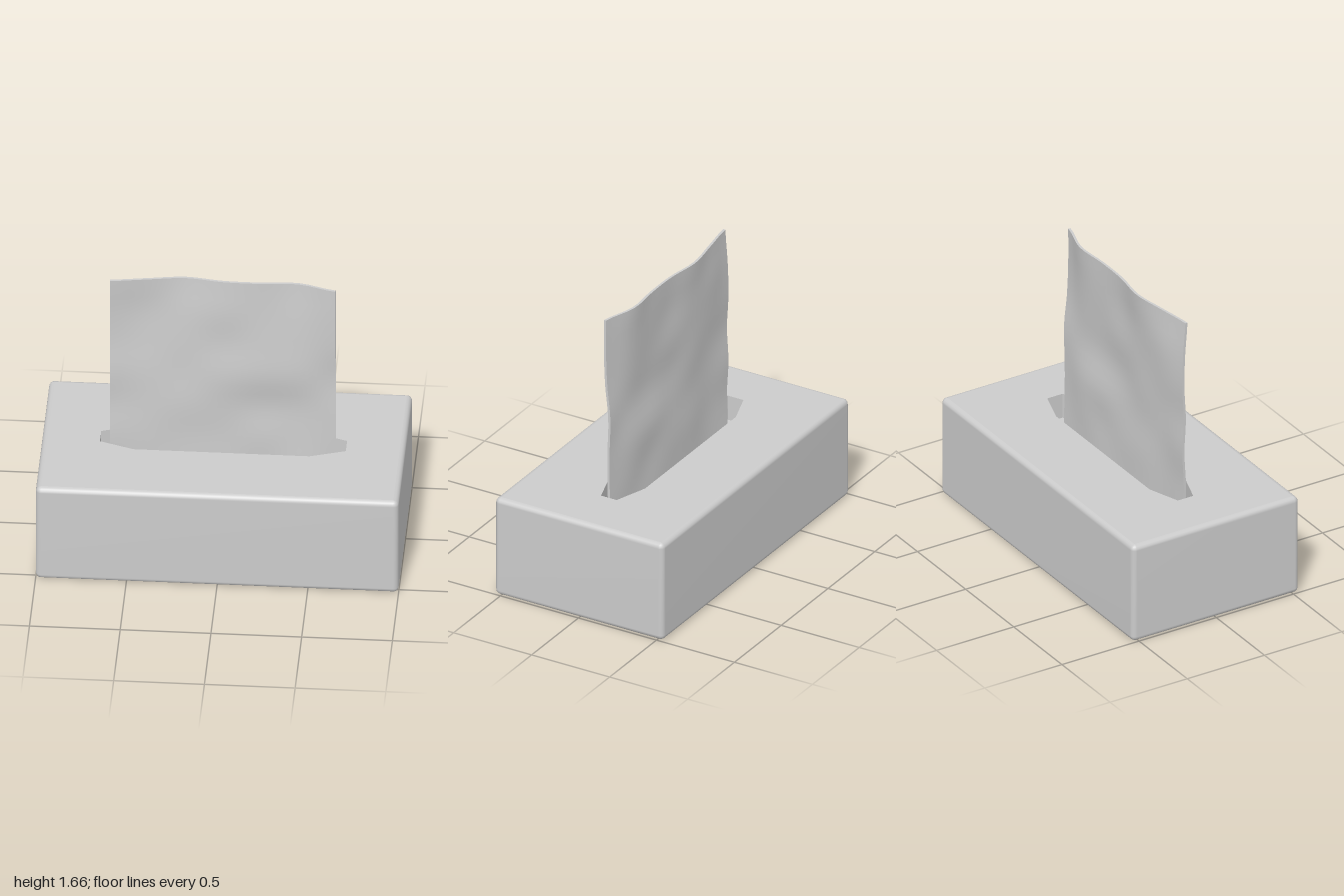
import * as THREE from 'three';

const material = new THREE.MeshStandardMaterial({ color: 0xcccccc });
const doubleSided = new THREE.MeshStandardMaterial({ color: 0xcccccc, side: THREE.DoubleSide });

const W = 2, H = 0.6, D = 1.08, R = 0.03;   // box size and edge radius
const SLOT_DEPTH = 0.15, FLOOR = H - SLOT_DEPTH;
const STEPS = 4;                            // segments per rounded edge

function addMesh(parent, geometry, name, mat = material) {
  const mesh = new THREE.Mesh(geometry, mat);
  mesh.name = name;
  parent.add(mesh);
  return mesh;
}

// Rounded rectangle outline in plan, inset of the corner centres plus a corner radius r
function outline(r) {
  const points = [];
  [[1, 1], [-1, 1], [-1, -1], [1, -1]].forEach(([sx, sz], corner) => {
    for (let i = 0; i <= STEPS; i++) {
      const a = (corner + i / STEPS) * Math.PI / 2;
      points.push(new THREE.Vector2(
        sx * (W / 2 - R) + r * Math.cos(a),
        sz * (D / 2 - R) + r * Math.sin(a)));
    }
  });
  return points;
}

// Box sides with rounded edges, lofted from bottom to top
function sideGeometry() {
  const positions = [], indices = [];
  const levels = [];
  for (let i = 0; i <= STEPS; i++) {
    const a = i / STEPS * Math.PI / 2;
    levels.push([R - R * Math.cos(a), R * Math.sin(a)]);
  }
  for (let i = STEPS; i >= 0; i--) levels.push([H - levels[i][0], levels[i][1]]);
  const n = outline(R).length;
  levels.forEach(([y, r], row) => {
    outline(r).forEach((p) => positions.push(p.x, y, p.y));
    if (row === 0) return;
    for (let j = 0; j < n; j++) {
      const a = (row - 1) * n + j, b = (row - 1) * n + (j + 1) % n;
      indices.push(a, a + n, b, b, a + n, b + n);
    }
  });
  const geometry = new THREE.BufferGeometry();
  geometry.setAttribute('position', new THREE.Float32BufferAttribute(positions, 3));
  geometry.setIndex(indices);
  geometry.computeVertexNormals();
  return geometry;
}

// Plan rectangle inside the rounded edges
function flatRect() {
  const x = W / 2 - R, z = D / 2 - R;
  return new THREE.Shape([[-x, -z], [x, -z], [x, z], [-x, z]].map((p) => new THREE.Vector2(...p)));
}

function slotPoints() {
  return [[-0.68, -0.05], [-0.49, -0.115], [0.48, -0.115], [0.675, -0.05],
    [0.675, 0.05], [0.48, 0.115], [-0.49, 0.115], [-0.68, 0.05]].map((p) => new THREE.Vector2(...p));
}

function createBox() {
  const box = new THREE.Group();
  box.name = 'box';
  addMesh(box, sideGeometry(), 'boxSides');
  addMesh(box, new THREE.ShapeGeometry(flatRect()).rotateX(Math.PI / 2), 'boxBottom');

  // Top panel with the eight-sided opening
  const top = flatRect();
  top.holes.push(new THREE.Path(slotPoints()));
  addMesh(box, new THREE.ShapeGeometry(top).rotateX(-Math.PI / 2).translate(0, H, 0), 'boxTop');

  // Walls and floor of the opening
  const pts = slotPoints(), wall = [];
  pts.forEach((p, i) => {
    const q = pts[(i + 1) % pts.length];
    wall.push(p.x, FLOOR, p.y, p.x, H, p.y, q.x, H, q.y, p.x, FLOOR, p.y, q.x, H, q.y, q.x, FLOOR, q.y);
  });
  const walls = new THREE.BufferGeometry();
  walls.setAttribute('position', new THREE.Float32BufferAttribute(wall, 3));
  walls.computeVertexNormals();
  addMesh(box, walls, 'slotWalls', doubleSided);
  addMesh(box, new THREE.ShapeGeometry(new THREE.Shape(pts)).rotateX(-Math.PI / 2).translate(0, FLOOR, 0), 'slotFloor');
  return box;
}

// Crumple depths of the tissue: rows from bottom to top, columns from -x to +x
const WAVES = [
  [0.025, 0.035, 0.025, 0.02, 0.015, 0.025, 0.03],
  [0.03, 0.035, 0.02, 0.015, 0.02, 0.015, 0.035],
  [0.02, 0.03, 0.025, 0.02, 0.01, 0.01, 0.035],
  [0.03, 0.025, 0.015, 0.03, 0.035, 0.03, 0.03],
  [0.02, 0.01, 0.01, 0.015, 0.025, 0.025, 0.05],
  [0.025, 0.0, 0.0, 0.02, 0.015, 0.015, 0.058],
  [0.04, 0.01, -0.018, 0.008, 0.01, 0.0, 0.058],
];
const spline = (values, t) =>
  new THREE.SplineCurve(values.map((v, i) => new THREE.Vector2(i, v))).getPoint(t).y;

function createTissue() {
  const width = 1.245, height = 1.665 - FLOOR, thickness = 0.014;
  const geometry = new THREE.BoxGeometry(width, height, thickness, 24, 20, 1);
  const pos = geometry.attributes.position;
  for (let i = 0; i < pos.count; i++) {
    const u = THREE.MathUtils.clamp(pos.getX(i) / width + 0.5, 0, 1);
    const v = THREE.MathUtils.clamp(pos.getY(i) / height + 0.5, 0, 1);
    pos.setZ(i, pos.getZ(i) + spline(WAVES.map((row) => spline(row, u)), v));
  }
  geometry.translate(-0.003, FLOOR + height / 2, 0);
  geometry.computeVertexNormals();
  return geometry;
}

export function createModel() {
  const model = new THREE.Group();
  model.name = 'tissueBox';
  model.add(createBox());
  addMesh(model, createTissue(), 'tissue');
  return model;
}
